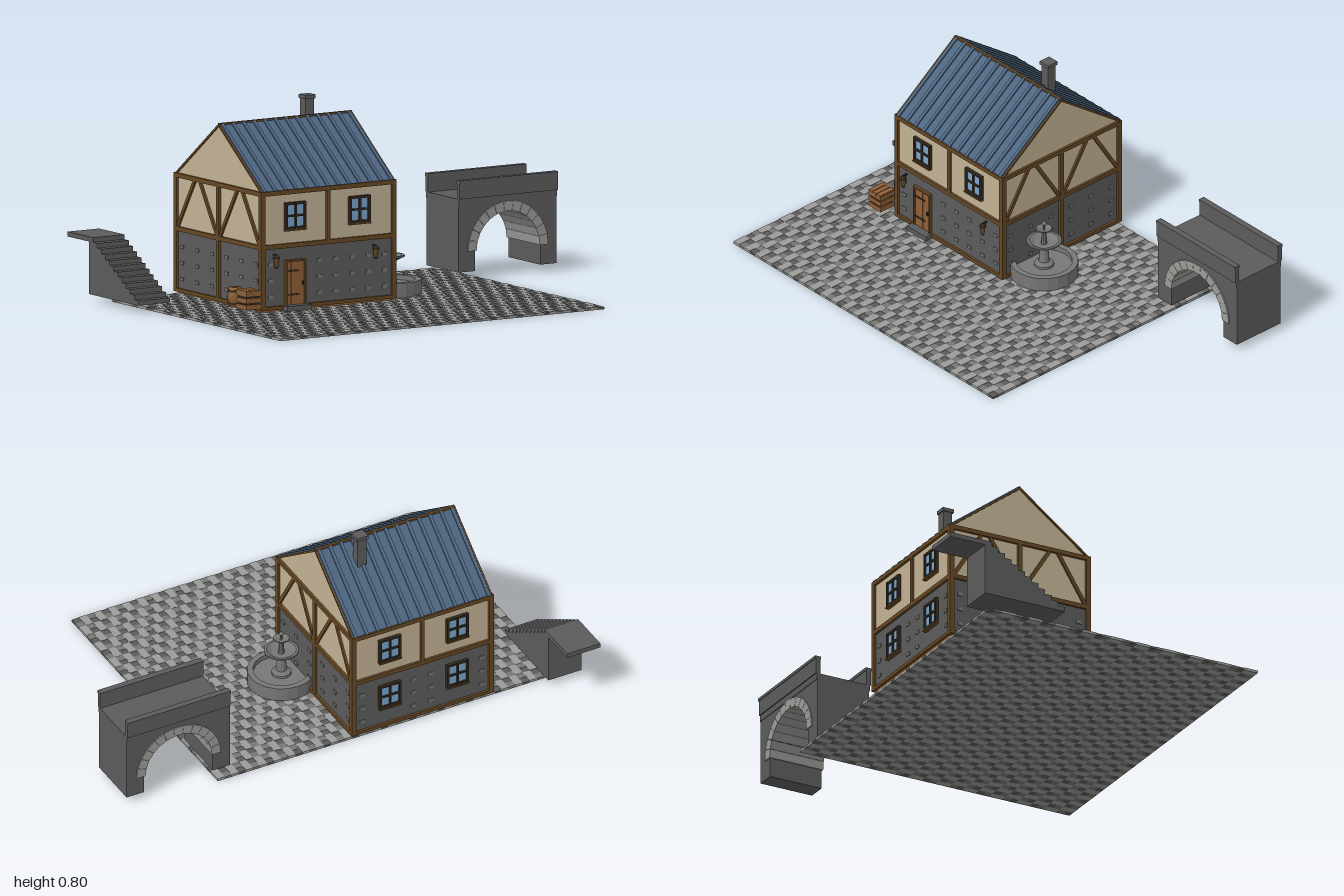
import * as THREE from 'three';
import { mergeGeometries } from 'three/addons/utils/BufferGeometryUtils.js';

const mat = (name, color, extra = {}) => {
  const m = new THREE.MeshStandardMaterial({ color, ...extra });
  m.name = name;
  return m;
};

export function createModel() {
  const M = {
    plaster: mat('plaster', 0xc3b395),
    timber: mat('timber', 0x664824),
    roof: mat('roofBlue', 0x4e6580),
    stone: mat('darkStone', 0x5c5c5c),
    mid: mat('midStone', 0x777775),
    light: mat('lightStone', 0x9c9c99),
    glass: mat('glass', 0x7ba6cc),
    frame: mat('darkFrame', 0x33291d),
    wood: mat('plankWood', 0x8f6038),
  };
  const root = new THREE.Group();
  root.name = 'village';
  const group = (name, parent = root) => {
    const g = new THREE.Group();
    g.name = name;
    parent.add(g);
    return g;
  };
  const add = (parent, name, geo, m) => {
    const mesh = new THREE.Mesh(geo, m);
    mesh.name = name;
    parent.add(mesh);
    return mesh;
  };
  // Box geometry from its limits on each axis
  const boxGeo = (x0, x1, y0, y1, z0, z1) =>
    new THREE.BoxGeometry(x1 - x0, y1 - y0, z1 - z0).translate((x0 + x1) / 2, (y0 + y1) / 2, (z0 + z1) / 2);
  const box = (parent, name, m, ...lim) => add(parent, name, boxGeo(...lim), m);

  // Cobbled square: three shades in a repeating diagonal pattern
  const cols = 48, rows = 40, cw = 1.535 / cols, rd = 1.225 / rows;
  const shades = [[], [], []];
  for (let j = 0; j < rows; j++) {
    for (let i = 0; i < cols; i++) {
      const k = (i + 2 * (j % 2) + (j >> 1)) % 4;
      const s = k === 0 ? 0 : k === 2 ? 1 : 2;
      const x = -0.925 + i * cw, z = -0.51 + j * rd;
      shades[s].push(boxGeo(x, x + cw, 0, 0.009 + 0.001 * s, z, z + rd));
    }
  }
  const cobbles = group('cobbles');
  [M.stone, M.mid, M.light].forEach((m, s) => add(cobbles, 'cobbleStones', mergeGeometries(shades[s]), m));

  // House shell
  const X0 = -0.62, X1 = 0, Z0 = -0.51, Z1 = 0.11, ZC = -0.2, RY = 0.725, EY = 0.49;
  const house = group('house');
  box(house, 'floorSill', M.wood, X0 + 0.005, X1 - 0.005, 0.01, 0.032, Z0, Z1);
  box(house, 'lowerWall', M.stone, X0, X1, 0.03, 0.27, Z0, Z1);
  box(house, 'upperWall', M.plaster, X0, X1, 0.27, EY, Z0, Z1);
  const gable = new THREE.Shape([[-0.31, 0], [0.31, 0], [0, RY - EY - 0.004]].map(p => new THREE.Vector2(...p)));
  const gableGeo = new THREE.ExtrudeGeometry(gable, { depth: X1 - X0, bevelEnabled: false });
  add(house, 'gable', gableGeo.rotateY(Math.PI / 2).translate(X0, EY, ZC), M.plaster);

  // Timber posts and beams
  for (const x of [X0, X1]) {
    for (const z of [Z0, ZC, Z1]) box(house, 'post', M.timber, x - 0.01, x + 0.01, 0.03, EY, z - 0.01, z + 0.01);
    for (const [a, b] of [[0.018, 0.032], [0.262, 0.28], [0.477, 0.495]])
      box(house, 'sideBeam', M.timber, x - 0.01, x + 0.01, a, b, Z0 - 0.01, Z1 + 0.01);
  }
  for (const z of [Z0, Z1]) {
    box(house, 'middlePost', M.timber, -0.318, -0.302, 0.27, EY, z - 0.01, z + 0.01);
    for (const [a, b] of [[0.018, 0.032], [0.262, 0.28], [0.477, 0.495]])
      box(house, 'longBeam', M.timber, X0 - 0.01, X1 + 0.01, a, b, z - 0.01, z + 0.01);
  }
  // Diagonal braces on both gable walls
  const brace = (x, za, zb) => {
    const dy = 0.2, dz = zb - za;
    const b = add(house, 'brace', new THREE.BoxGeometry(0.012, Math.hypot(dy, dz), 0.015), M.timber);
    b.position.set(x, 0.378, (za + zb) / 2);
    b.rotation.x = Math.atan2(dz, dy);
  };
  for (const x of [X0 - 0.002, X1 + 0.002]) {
    for (const c of [-0.045, -0.355]) {
      brace(x, c + 0.145, c + 0.02);
      brace(x, c - 0.145, c - 0.02);
    }
  }

  // Roof slopes with standing ribs
  const run = 0.315, rise = RY - EY, slope = Math.hypot(run, rise);
  for (const s of [1, -1]) {
    const side = group(s > 0 ? 'frontRoof' : 'backRoof', house);
    side.position.set(-0.31, (RY + EY) / 2, ZC + s * run / 2);
    side.rotation.x = s * Math.atan2(rise, run);
    add(side, 'roofSheet', new THREE.BoxGeometry(0.622, 0.006, slope), M.roof);
    for (let i = 0; i < 13; i++)
      add(side, 'roofRib', new THREE.BoxGeometry(0.014, 0.01, slope), M.roof).position.set(-0.3 + i * 0.05, 0.004, 0);
    for (const x of [-0.313, 0.313])
      add(side, 'rakeTrim', new THREE.BoxGeometry(0.006, 0.008, slope), M.timber).position.x = x;
  }
  box(house, 'ridgeBeam', M.timber, X0 - 0.004, X1 + 0.004, RY - 0.004, RY + 0.007, ZC - 0.006, ZC + 0.006);
  box(house, 'chimney', M.stone, -0.176, -0.136, 0.6, 0.79, -0.297, -0.257);
  box(house, 'chimneyCap', M.stone, -0.181, -0.131, 0.785, 0.8, -0.302, -0.252);

  // Windows, two per storey at the back and upstairs at the front
  const makeWindow = (x, y, z, s) => {
    const w = group('window', house);
    w.position.set(x, y, z);
    if (s < 0) w.rotation.y = Math.PI;
    box(w, 'glass', M.glass, -0.042, 0.042, -0.047, 0.047, 0, 0.007);
    for (const d of [-1, 0, 1]) {
      const t = d ? 0.005 : 0.004;
      box(w, 'upright', M.frame, d * 0.044 - t, d * 0.044 + t, -0.054, 0.054, 0, 0.014);
      box(w, 'crossbar', M.frame, -0.048, 0.048, d * 0.049 - t, d * 0.049 + t, 0, 0.013);
    }
    box(w, 'windowSill', M.timber, -0.05, 0.05, -0.06, -0.054, 0, 0.017);
  };
  for (const x of [-0.467, -0.163]) {
    makeWindow(x, 0.39, Z1, 1);
    makeWindow(x, 0.39, Z0, -1);
    makeWindow(x, 0.165, Z0, -1);
  }

  // Plank door with step
  const door = group('door', house);
  for (let i = 0; i < 4; i++)
    box(door, 'doorPlank', M.wood, -0.508 + i * 0.022, -0.487 + i * 0.022, 0.03, 0.205, 0.1, 0.118);
  for (const x of [-0.515, -0.425]) box(door, 'doorJamb', M.timber, x, x + 0.007, 0.03, 0.212, 0.1, 0.124);
  box(door, 'doorLintel', M.timber, -0.515, -0.418, 0.205, 0.213, 0.1, 0.124);
  for (const y of [0.07, 0.165]) box(door, 'doorHinge', M.frame, -0.508, -0.45, y, y + 0.007, 0.117, 0.121);
  box(door, 'handle', M.frame, -0.436, -0.43, 0.11, 0.125, 0.117, 0.125);
  box(door, 'doorStep', M.stone, -0.525, -0.41, 0.012, 0.032, 0.1, 0.15);

  // Pale blocks set into the lower walls
  for (const y of [0.07, 0.135, 0.2]) {
    for (let i = 0; i < 8; i++) {
      const x = -0.58 + i * 0.077;
      const nearDoor = x > -0.54 && x < -0.4;
      if (!nearDoor) box(house, 'wallBlock', M.mid, x - 0.011, x + 0.011, y - 0.007, y + 0.007, Z1 - 0.01, Z1 + 0.004);
      if (Math.abs(x + 0.467) > 0.07 && Math.abs(x + 0.163) > 0.07)
        box(house, 'wallBlock', M.mid, x - 0.011, x + 0.011, y - 0.007, y + 0.007, Z0 - 0.004, Z0 + 0.01);
    }
    for (let i = 0; i < 6; i++) {
      const z = 0.07 - i * 0.108;
      for (const x of [X0, X1]) box(house, 'wallBlock', M.mid, x - 0.004, x + 0.004, y - 0.007, y + 0.007, z - 0.011, z + 0.011);
    }
  }

  // Wall lanterns
  for (const x of [-0.565, -0.095]) {
    const l = group('lantern', house);
    l.position.set(x, 0, 0.132);
    box(l, 'bracket', M.frame, -0.003, 0.003, 0.236, 0.242, -0.022, 0.003);
    add(l, 'lanternBody', new THREE.CylinderGeometry(0.012, 0.008, 0.036, 6).translate(0, 0.21, 0), M.timber);
    add(l, 'lanternCap', new THREE.ConeGeometry(0.016, 0.018, 6).translate(0, 0.237, 0), M.frame);
    add(l, 'lanternBase', new THREE.CylinderGeometry(0.009, 0.006, 0.006, 6).translate(0, 0.19, 0), M.frame);
  }

  // Slatted crate and barrel
  const crate = group('crate');
  box(crate, 'crateCore', M.frame, -0.724, -0.666, 0.036, 0.106, 0.096, 0.162);
  for (let i = 0; i < 3; i++) {
    box(crate, 'crateSlat', M.wood, -0.73, -0.66, 0.036 + i * 0.026, 0.055 + i * 0.026, 0.092, 0.167);
    box(crate, 'crateLid', M.wood, -0.73 + i * 0.024, -0.709 + i * 0.024, 0.1, 0.113, 0.09, 0.168);
  }
  const barrel = group('barrel');
  barrel.position.set(-0.692, 0.03, 0.025);
  const staves = [[0, 0], [0.025, 0], [0.032, 0.04], [0.025, 0.08], [0, 0.08]].map(p => new THREE.Vector2(...p));
  add(barrel, 'staves', new THREE.LatheGeometry(staves, 14), M.wood);
  for (const y of [0.015, 0.065])
    add(barrel, 'hoop', new THREE.CylinderGeometry(0.031, 0.031, 0.007, 14).translate(0, y, 0), M.frame);

  // Tiered fountain
  const fountain = group('fountain');
  fountain.position.set(0.073, 0, -0.045);
  const lathe = (name, pts, m, seg = 20) => {
    const g = new THREE.LatheGeometry(pts.map(p => new THREE.Vector2(...p)), seg).toNonIndexed();
    g.computeVertexNormals();
    return add(fountain, name, g, m);
  };
  lathe('basin', [[0, 0.012], [0.137, 0.012], [0.137, 0.07], [0.113, 0.07], [0.113, 0.05], [0, 0.05]], M.mid);
  lathe('pedestal', [[0.04, 0.05], [0.04, 0.06], [0.022, 0.07], [0.016, 0.145]], M.mid, 12);
  lathe('lowerBowl', [[0, 0.13], [0.02, 0.135], [0.07, 0.16], [0.07, 0.166], [0.06, 0.166], [0.04, 0.152], [0, 0.15]], M.mid);
  lathe('stem', [[0.013, 0.15], [0.009, 0.21]], M.mid, 10);
  lathe('upperBowl', [[0, 0.2], [0.01, 0.203], [0.032, 0.218], [0.032, 0.223], [0.026, 0.223], [0, 0.213]], M.mid);
  lathe('finial', [[0.005, 0.21], [0.004, 0.232], [0.011, 0.242], [0, 0.256]], M.mid, 10);

  // Stone staircase with overhanging landing
  const stairs = group('stairs');
  for (let i = 0; i < 12; i++) {
    const z = -0.205 - i * 0.0302;
    box(stairs, 'step', M.stone, -1, -0.85, 0.03, 0.03 + (i + 1) * 0.0192, z - 0.0302, z);
  }
  box(stairs, 'landing', M.stone, -1, -0.85, 0.241, 0.2604, -0.725, -0.567);

  // Arched gate: walls, ring of wedge stones, deck and parapets
  const gate = group('gate');
  gate.position.set(0.7675, 0, -0.355);
  const wall = new THREE.Shape();
  wall.moveTo(-0.2325, 0.03).lineTo(-0.155, 0.03).lineTo(-0.155, 0.11).lineTo(-0.188, 0.11);
  wall.absarc(0, 0.11, 0.188, Math.PI, 0, true);
  wall.lineTo(0.155, 0.11).lineTo(0.155, 0.03).lineTo(0.2325, 0.03).lineTo(0.2325, 0.302).lineTo(-0.2325, 0.302);
  add(gate, 'gateWall', new THREE.ExtrudeGeometry(wall, { depth: 0.234, bevelEnabled: false, curveSegments: 24 }).translate(0, 0, -0.117), M.stone);
  for (let i = 0; i < 13; i++) {
    const a = i * Math.PI / 13, b = (i + 1) * Math.PI / 13 - 0.008;
    const wedge = new THREE.Shape([[0.15, a], [0.19, a], [0.19, b], [0.15, b]]
      .map(([r, t]) => new THREE.Vector2(r * Math.cos(t), 0.11 + r * Math.sin(t))));
    add(gate, 'archStone', new THREE.ExtrudeGeometry(wedge, { depth: 0.244, bevelEnabled: false }).translate(0, 0, -0.122), M.light);
  }
  box(gate, 'deck', M.stone, -0.2325, 0.2325, 0.3, 0.325, -0.12, 0.12);
  for (const z of [-0.115, 0.115]) {
    box(gate, 'parapet', M.stone, -0.2325, 0.2325, 0.325, 0.39, z - 0.01, z + 0.01);
    box(gate, 'parapetCap', M.stone, -0.2325, 0.2325, 0.388, 0.4, z - 0.013, z + 0.013);
  }
  return root;
}
